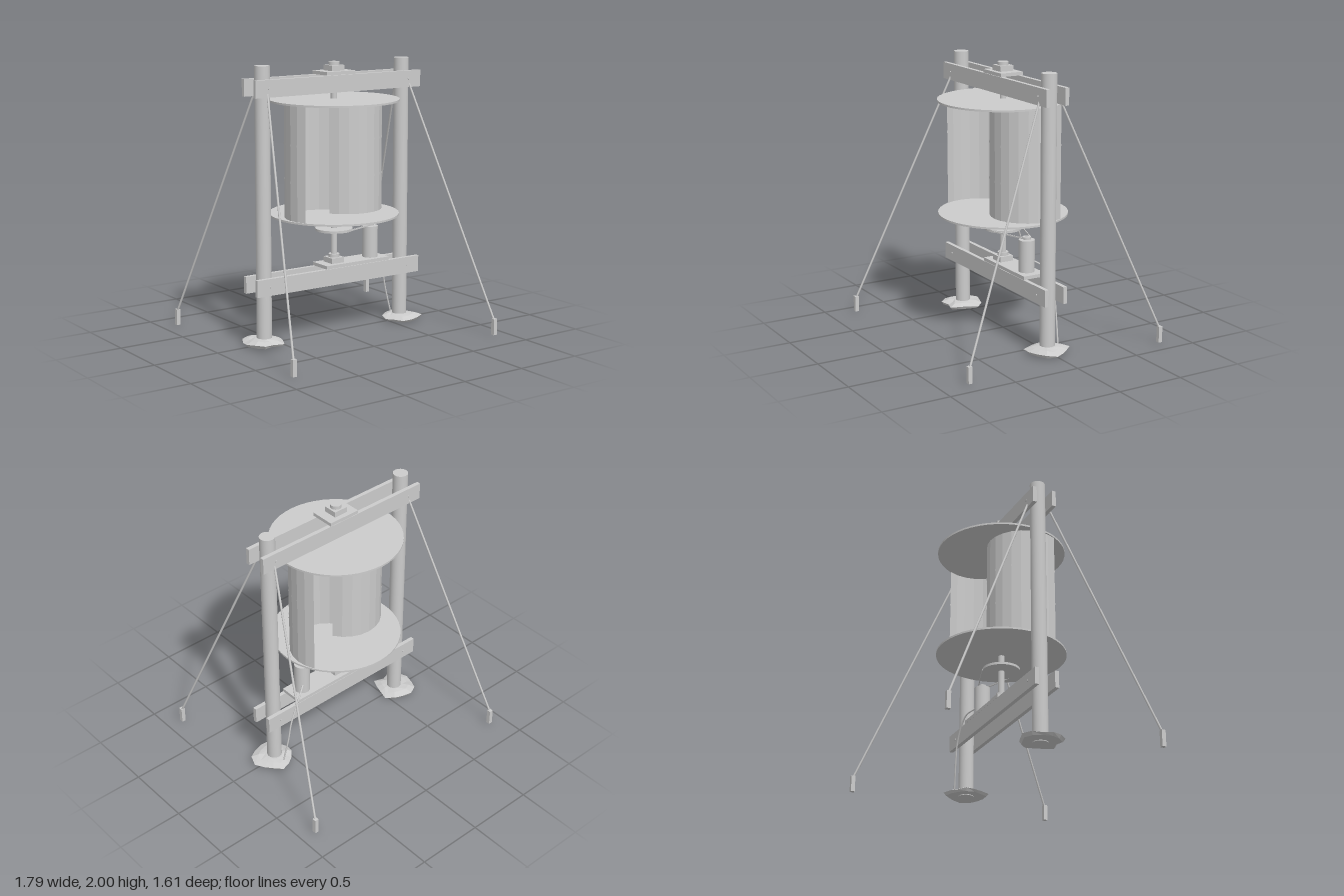
import * as THREE from 'three';

export function createModel() {
  const model = new THREE.Group();
  const grey = new THREE.MeshStandardMaterial({ color: 0xcccccc, side: THREE.DoubleSide });
  grey.name = 'plain grey';

  function add(name, geometry, x = 0, y = 0, z = 0, parent = model) {
    const mesh = new THREE.Mesh(geometry, grey);
    mesh.name = name;
    mesh.position.set(x, y, z);
    parent.add(mesh);
    return mesh;
  }
  const box = (name, w, y0, y1, d, x = 0, z = 0) =>
    add(name, new THREE.BoxGeometry(w, y1 - y0, d), x, (y0 + y1) / 2, z);
  const rod = (name, r, y0, y1, x = 0, z = 0, sides = 24) =>
    add(name, new THREE.CylinderGeometry(r, r, y1 - y0, sides), x, (y0 + y1) / 2, z);
  const faceted = (geometry) => {
    const flat = geometry.toNonIndexed();
    flat.computeVertexNormals();
    return flat;
  };
  // straight round bar between two points
  function strut(name, r, a, b) {
    const dir = b.clone().sub(a);
    const mid = a.clone().add(b).multiplyScalar(0.5);
    const mesh = add(name, new THREE.CylinderGeometry(r, r, dir.length(), 8), mid.x, mid.y, mid.z);
    mesh.quaternion.setFromUnitVectors(new THREE.Vector3(0, 1, 0), dir.normalize());
  }

  let seed = 7;
  const random = () => (seed = (seed * 16807) % 2147483647) / 2147483647;

  // rough footing heaped around a post
  function footing(x) {
    const profile = [[0, 0.005], [0.13, 0.005], [0.145, 0.018], [0.1, 0.036], [0.065, 0.05], [0, 0.052]]
      .map(([r, y]) => new THREE.Vector2(r, y));
    const sides = 13;
    const geometry = new THREE.LatheGeometry(profile, sides);
    const p = geometry.attributes.position;
    const n = profile.length;
    const spread = Array.from({ length: sides }, () => 0.85 + 0.35 * random());
    const lift = Array.from({ length: sides }, () => 0.014 * random());
    for (let i = 0; i < p.count; i++) {
      const side = Math.floor(i / n) % sides, ring = i % n;
      const s = ring < 4 ? spread[side] : 1;
      p.setXYZ(i, p.getX(i) * s, p.getY(i) + (ring === 2 || ring === 3 ? lift[side] : 0), p.getZ(i) * s);
    }
    add('footing', faceted(geometry), x);
  }

  // posts, footings, guy wires and stakes
  for (const sx of [-1, 1]) {
    rod('post', 0.055, 0, 2, sx * 0.61);
    footing(sx * 0.615);
    for (const sz of [-1, 1]) {
      strut('guyWire', 0.008, new THREE.Vector3(sx * 0.62, 1.81, sz * 0.085),
        new THREE.Vector3(sx * 0.88, 0.12, sz * 0.785));
      box('stake', 0.03, 0.01, 0.13, 0.03, sx * 0.88, sz * 0.788);
    }
  }

  // paired cross beams with bolt heads
  for (const y of [0.375, 1.785]) {
    for (const sz of [-1, 1]) {
      box('crossBeam', 1.44, y, y + 0.123, 0.03, 0, sz * 0.076);
      for (const sx of [-1, 1]) {
        const bolt = rod('bolt', 0.008, y + 0.058, y + 0.066, sx * 0.61, sz * 0.093, 8);
        bolt.rotation.x = Math.PI / 2;
      }
    }
  }

  // bearings on their plates
  box('upperPlate', 0.25, 1.91, 1.935, 0.18);
  box('lowerPlate', 0.565, 0.5, 0.525, 0.18, 0.157);
  for (const y of [0.525, 1.935]) {
    box('bearingBlock', 0.108, y, y + 0.04, 0.108);
    rod('bearingCollar', 0.04, y + 0.04, y + 0.065);
  }
  rod('shaft', 0.023, 0.53, 1.99);

  // rotor: two end discs and two offset half barrels
  rod('lowerDisc', 0.475, 0.885, 0.899, 0, 0, 48);
  rod('upperDisc', 0.475, 1.719, 1.733, 0, 0, 48);
  const radius = 0.271, offset = 0.199, tilt = Math.PI / 6;
  const halfBand = (r, h) => faceted(new THREE.CylinderGeometry(r, r, h, 12, 1, true, -Math.PI / 2, Math.PI));
  for (const turn of [0, Math.PI]) {
    const blade = new THREE.Group();
    blade.name = 'blade';
    blade.rotation.y = tilt + turn;
    model.add(blade);
    add('halfBarrel', halfBand(radius, 0.82), offset, 1.309, 0, blade);
    for (const y of [1.174, 1.44]) add('barrelRib', halfBand(radius + 0.003, 0.016), offset, y, 0, blade);
  }

  // generator with belt drive
  const motorX = 0.33;
  rod('generator', 0.058, 0.525, 0.76, motorX);
  rod('drivePulley', 0.137, 0.764, 0.782, 0, 0, 32);
  rod('generatorShaft', 0.01, 0.75, 0.785, motorX);
  rod('generatorPulley', 0.03, 0.764, 0.782, motorX, 0, 16);
  const slope = Math.asin((0.137 - 0.03) / motorX);
  for (const sz of [-1, 1]) {
    const midR = (0.137 + 0.03) / 2;
    const belt = box('belt', motorX * Math.cos(slope), 0.768, 0.778, 0.006,
      motorX / 2 + midR * Math.sin(slope), sz * midR * Math.cos(slope));
    belt.rotation.y = sz * slope;
  }

  // power cable running down behind the post
  const path = new THREE.CatmullRomCurve3([
    [0.36, 0.6, -0.045], [0.42, 0.57, -0.085], [0.47, 0.5, -0.102], [0.53, 0.37, -0.11],
    [0.56, 0.22, -0.108], [0.6, 0.04, -0.097],
  ].map((p) => new THREE.Vector3(...p)));
  add('cable', new THREE.TubeGeometry(path, 24, 0.006, 8));

  return model;
}
